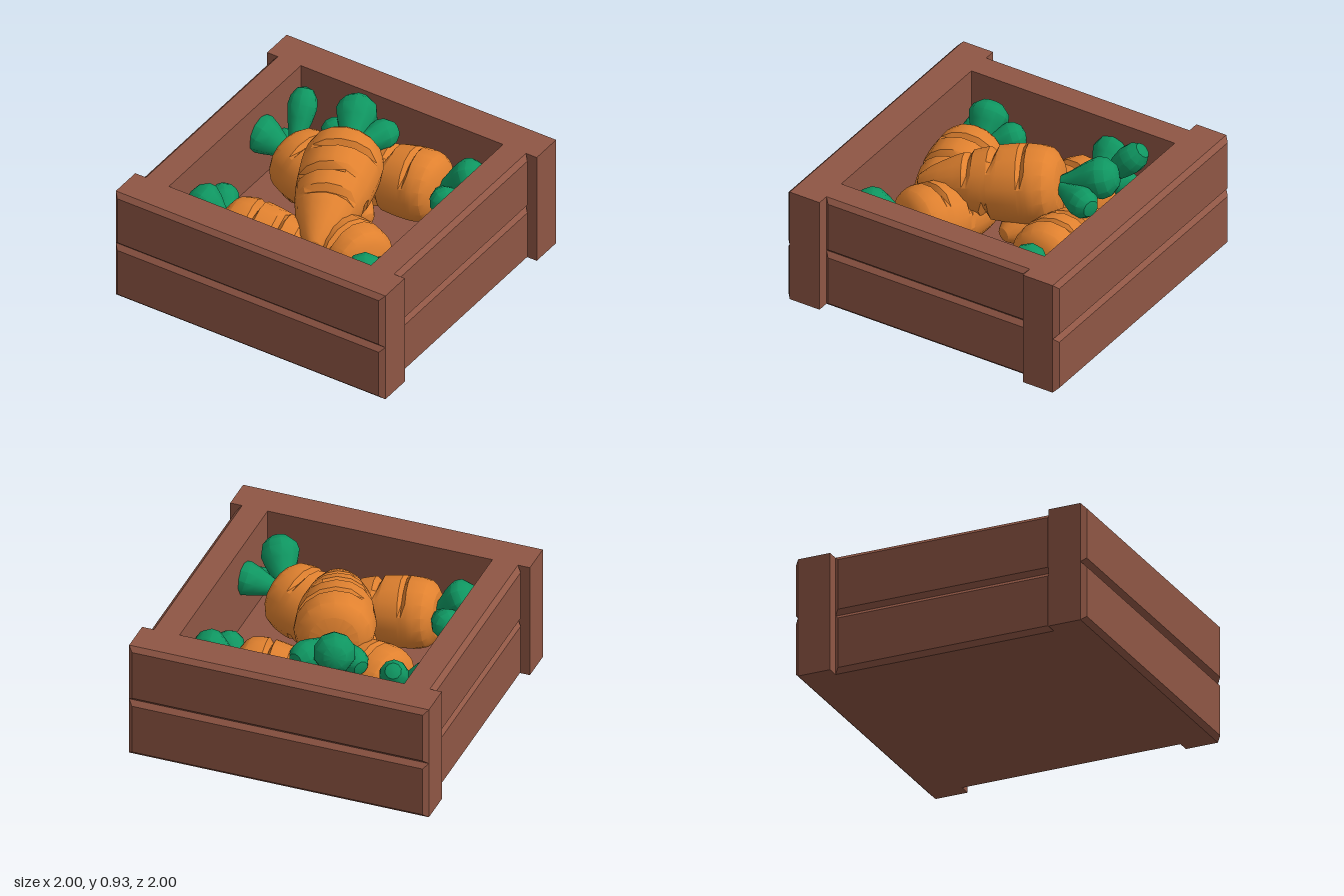
import * as THREE from 'three';
import { toCreasedNormals } from 'three/addons/utils/BufferGeometryUtils.js';

const mat = (name, color) => {
  const m = new THREE.MeshStandardMaterial({ color });
  m.name = name;
  return m;
};

// Board whose outer (+z) face has chamfered edges; its inner face lies at z = 0
function plankGeometry(w, h, d, c) {
  const g = new THREE.BoxGeometry(w, h, d, 1, 1, 2).translate(0, 0, d / 2);
  const p = g.attributes.position;
  for (let i = 0; i < p.count; i++) {
    const z = p.getZ(i);
    if (z > d * 0.9) {
      p.setXY(i, p.getX(i) - Math.sign(p.getX(i)) * c, p.getY(i) - Math.sign(p.getY(i)) * c);
    } else if (z > d * 0.1) p.setZ(i, d - c);
  }
  const flat = g.toNonIndexed();
  flat.computeVertexNormals();
  return flat;
}

// Carrot root along +y, head at y = 0, tip at y = 1, largest radius 1
const outline = new THREE.SplineCurve([
  [0.62, 0], [0.9, 0.06], [1, 0.18], [0.98, 0.34], [0.88, 0.52], [0.68, 0.72], [0.4, 0.9], [0.2, 0.98],
].map(([r, t]) => new THREE.Vector2(r, t)));
const notches = [ // position along the root, angle from the top, half width
  [0.24, -0.25, 1.0], [0.44, 0.35, 1.0], [0.62, -0.1, 1.1],
  [0.3, 2.9, 0.9], [0.52, -2.4, 0.9],
];

function radiusAt(t) {
  let lo = 0, hi = 1;
  for (let i = 0; i < 24; i++) {
    const mid = (lo + hi) / 2;
    if (outline.getPoint(mid).y < t) lo = mid; else hi = mid;
  }
  return outline.getPoint(lo).x;
}

function rootGeometry(radius, length) {
  const rings = [0, 0.03, 0.07, 0.13, 0.18, 0.36, 0.72, 0.82, 0.9, 0.96, 0.98];
  notches.forEach(([t]) => rings.push(t - 0.035, t, t + 0.035));
  rings.sort((a, b) => a - b);
  const pts = [new THREE.Vector2(0, -0.012), ...rings.map(t => new THREE.Vector2(radiusAt(t), t)),
    new THREE.Vector2(0, 1)];
  const g = new THREE.LatheGeometry(pts, 16);
  const p = g.attributes.position;
  for (let i = 0; i < p.count; i++) {
    const t = p.getY(i), a = Math.atan2(p.getX(i), p.getZ(i));
    for (const [nt, na, half] of notches) {
      const off = Math.abs(Math.atan2(Math.sin(a - na), Math.cos(a - na)));
      if (Math.abs(t - nt) < 1e-4 && off < half) {
        const k = 1 - 0.19 * Math.min(1, 1.6 * (1 - off / half));
        p.setXYZ(i, p.getX(i) * k, t, p.getZ(i) * k);
      }
    }
    // Slant the cuts a little across the root
    if (t > 0.15 && t < 0.8) p.setY(i, t + 0.025 * p.getX(i));
  }
  g.scale(radius, length, radius);
  return toCreasedNormals(g, 0.5);
}

// Club-shaped leaf along +y, narrow at the base
function leafGeometry(radius, length) {
  const pts = [[0, 0], [0.3, 0], [0.52, 0.25], [0.85, 0.52], [1, 0.7], [0.9, 0.84], [0.55, 0.96], [0, 1]]
    .map(([r, t]) => new THREE.Vector2(r * radius, t * length));
  return toCreasedNormals(new THREE.LatheGeometry(pts, 10), 0.65);
}

// Puts local +y along from -> to, with local +z as near to upwards as possible
function place(mesh, from, to) {
  const y = to.clone().sub(from).normalize();
  const x = y.clone().cross(new THREE.Vector3(0, 1, 0)).normalize();
  const z = x.clone().cross(y);
  mesh.quaternion.setFromRotationMatrix(new THREE.Matrix4().makeBasis(x, y, z));
  mesh.position.copy(from);
  return mesh;
}

export function createModel() {
  const model = new THREE.Group();
  model.name = 'carrotCrate';
  const wood = mat('wood', 0x8f5644);
  const orange = mat('carrotOrange', 0xe0812f);
  const green = mat('leafGreen', 0x0f9661);

  // Crate: two stacked boards on each side and a floor
  const crate = new THREE.Group();
  crate.name = 'crate';
  const longBoard = plankGeometry(2, 0.4, 0.25, 0.03);
  const shortBoard = plankGeometry(1.5, 0.4, 0.2, 0.03);
  const sides = [['front', longBoard, 0], ['left', shortBoard, 1], ['back', longBoard, 2], ['right', shortBoard, 3]];
  for (const [side, geo, turn] of sides) {
    for (const [level, y] of [['Lower', 0.2], ['Upper', 0.6]]) {
      const board = new THREE.Mesh(geo, wood);
      const a = turn * Math.PI / 2;
      board.name = side + level + 'Board';
      board.rotation.y = a;
      board.position.set(Math.sin(a) * 0.75, y, Math.cos(a) * 0.75);
      crate.add(board);
    }
  }
  const floor = new THREE.Mesh(new THREE.BoxGeometry(1.5, 0.22, 1.5), wood);
  floor.name = 'floor';
  floor.position.y = 0.11;
  crate.add(floor);
  model.add(crate);

  // Carrots: head, tip, radius, leaves as [tip x, y, z, radius]
  const carrots = [
    ['topCarrot', [-0.11, 0.7, -0.32], [0.19, 0.57, 0.55], 0.255,
      [[-0.25, 0.81, -0.66, 0.135], [-0.37, 0.66, -0.5, 0.09], [0.03, 0.7, -0.64, 0.1]]],
    ['frontLeftPileCarrot', [-0.48, 0.47, 0.52], [0.36, 0.4, 0.43], 0.23,
      [[-0.71, 0.66, 0.56, 0.13], [-0.66, 0.55, 0.29, 0.1], [-0.73, 0.45, 0.69, 0.1]]],
    ['frontRightPileCarrot', [0.52, 0.48, 0.41], [-0.2, 0.4, 0.13], 0.235,
      [[0.66, 0.66, 0.7, 0.125], [0.84, 0.58, 0.33, 0.11], [0.8, 0.42, 0.56, 0.09]]],
    ['backRightPileCarrot', [0.46, 0.48, -0.51], [-0.33, 0.4, -0.46], 0.235,
      [[0.71, 0.68, -0.58, 0.12], [0.63, 0.55, -0.3, 0.1], [0.74, 0.45, -0.66, 0.1]]],
    ['backLeftPileCarrot', [-0.55, 0.47, -0.33], [0.2, 0.4, -0.08], 0.235,
      [[-0.62, 0.78, -0.61, 0.095], [-0.84, 0.6, -0.28, 0.13], [-0.72, 0.42, -0.5, 0.09]]],
  ];
  for (const [name, h, t, radius, leaves] of carrots) {
    const carrot = new THREE.Group();
    carrot.name = name;
    const head = new THREE.Vector3(...h), tip = new THREE.Vector3(...t);
    const root = new THREE.Mesh(rootGeometry(radius, head.distanceTo(tip)), orange);
    root.name = 'root';
    carrot.add(place(root, head, tip));
    const base = head.clone().lerp(tip, 0.03);
    for (const [x, y, z, r] of leaves) {
      const end = new THREE.Vector3(x, y, z);
      const leaf = new THREE.Mesh(leafGeometry(r, base.distanceTo(end)), green);
      leaf.name = 'leaf';
      carrot.add(place(leaf, base, end));
    }
    model.add(carrot);
  }
  return model;
}
